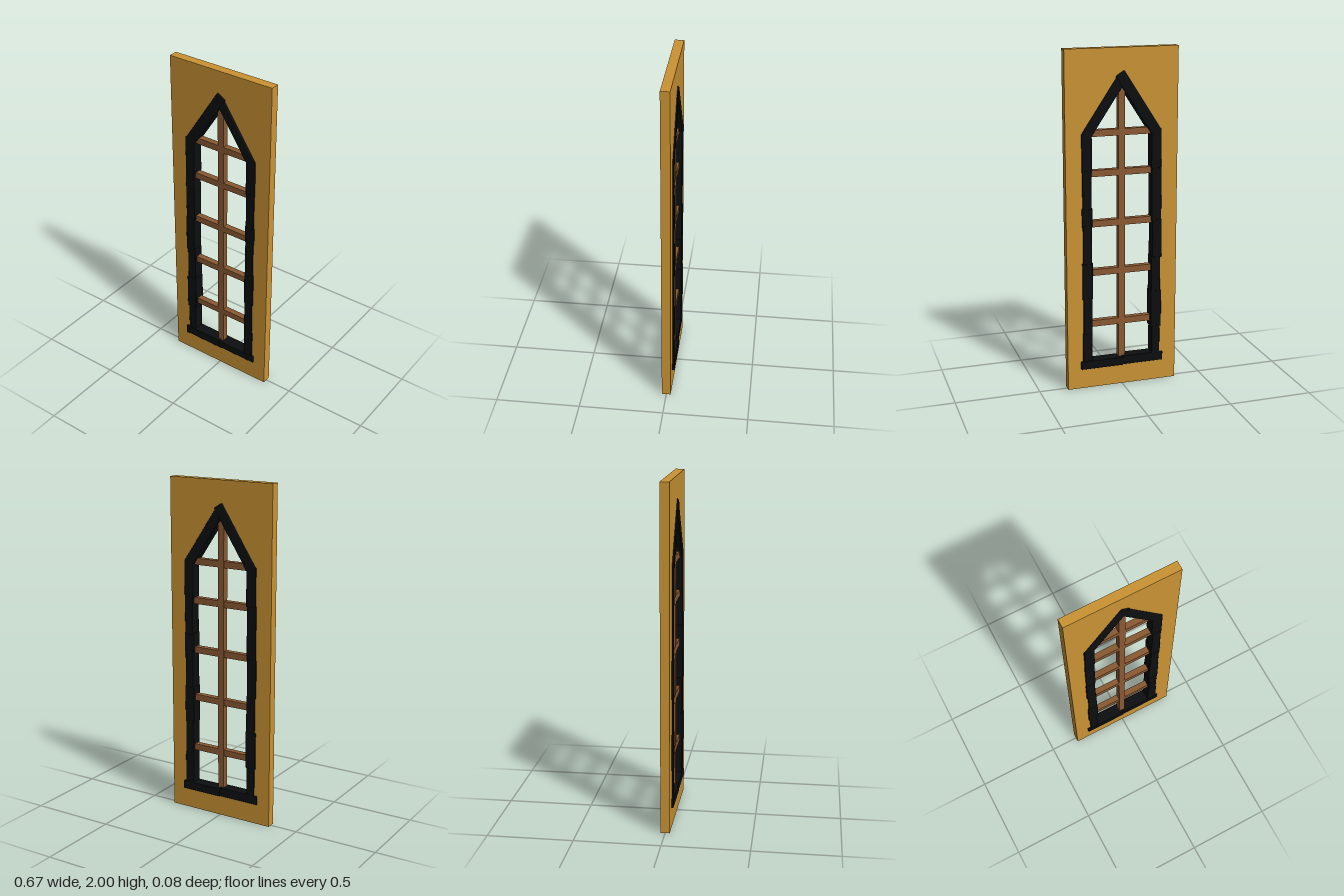
import * as THREE from 'three';
import { RoundedBoxGeometry } from 'three/addons/geometries/RoundedBoxGeometry.js';

export function createModel() {
  const model = new THREE.Group();
  model.name = 'latticeWindow';

  const mat = (name, color) => {
    const m = new THREE.MeshStandardMaterial({ color });
    m.name = name;
    return m;
  };
  const plaster = mat('ochreWall', 0xcb9434);
  const wood = mat('brownWood', 0x8b5a33);
  const iron = mat('blackStone', 0x0c0e10);

  const add = (name, geometry, material, parent = model) => {
    const mesh = new THREE.Mesh(geometry, material);
    mesh.name = name;
    parent.add(mesh);
    return mesh;
  };
  const group = (name) => {
    const g = new THREE.Group();
    g.name = name;
    model.add(g);
    return g;
  };

  // Wall panel with a pointed opening
  const wall = new THREE.Shape([
    [-0.333, 0], [0.333, 0], [0.333, 2], [-0.333, 2],
  ].map(([x, y]) => new THREE.Vector2(x, y)));
  wall.holes.push(new THREE.Path([
    [-0.205, 0.15], [-0.205, 1.52], [0, 1.82], [0.205, 1.52], [0.205, 0.15],
  ].map(([x, y]) => new THREE.Vector2(x, y))));
  const wallGeometry = new THREE.ExtrudeGeometry(wall, { depth: 0.053, bevelEnabled: false });
  wallGeometry.translate(0, 0, -0.0265);
  add('wallPanel', wallGeometry, plaster);

  // Slightly chamfered stone given by its x and y limits
  const frame = group('frame');
  const block = (name, x0, x1, y0, y1, depth = 0.066, z = 0) => {
    const geo = new RoundedBoxGeometry(x1 - x0, y1 - y0, depth, 1, 0.005);
    const mesh = add(name, geo, iron, frame);
    mesh.position.set((x0 + x1) / 2, (y0 + y1) / 2, z);
    return mesh;
  };

  // Sill in two offset halves
  block('sillRight', -0.254, 0.003, 0.12, 0.175, 0.071, 0.0025);
  block('sillLeft', -0.003, 0.254, 0.12, 0.17, 0.075, -0.0025);

  // Uneven jamb stones: inner edge, outer edge, bottom, top
  const jambRight = [
    [0.183, 0.234, 0.15, 0.35], [0.175, 0.241, 0.34, 0.565], [0.178, 0.234, 0.555, 0.78],
    [0.183, 0.241, 0.77, 1.0], [0.178, 0.238, 0.99, 1.315], [0.174, 0.235, 1.305, 1.535],
  ];
  const jambLeft = [
    [0.183, 0.241, 0.15, 0.345], [0.183, 0.236, 0.335, 0.56], [0.178, 0.241, 0.55, 0.775],
    [0.183, 0.236, 0.765, 0.995], [0.179, 0.241, 0.985, 1.1],
    [0.184, 0.237, 1.09, 1.315], [0.179, 0.24, 1.305, 1.53],
  ];
  jambRight.forEach(([a, b, y0, y1], i) =>
    block('jambStoneRight' + (i + 1), -b, -a, y0, y1, 0.066 + (i % 2) * 0.004));
  jambLeft.forEach(([a, b, y0, y1], i) =>
    block('jambStoneLeft' + (i + 1), a, b, y0, y1, 0.066 + (i % 2) * 0.004));

  // Sloping stones of the pointed head
  const slope = (name, x0, y0, x1, y1, width, depth) => {
    const length = Math.hypot(x1 - x0, y1 - y0);
    const mesh = block(name, 0, width, 0, length, depth);
    mesh.position.set((x0 + x1) / 2, (y0 + y1) / 2, 0);
    mesh.rotation.z = Math.atan2(y1 - y0, x1 - x0) - Math.PI / 2;
  };
  slope('archRight', -0.207, 1.513, 0.014, 1.857, 0.06, 0.07);
  slope('archLeft', 0.212, 1.515, -0.005, 1.84, 0.058, 0.067);

  // Glazing bars
  const lattice = group('lattice');
  add('mullion', new THREE.BoxGeometry(0.038, 1.64, 0.038), wood, lattice).position.y = 0.98;
  [0.395, 0.708, 1.0, 1.295, 1.525].forEach((y, i) => {
    add('crossBar' + (i + 1), new THREE.BoxGeometry(0.38, 0.038, 0.036), wood, lattice).position.y = y;
  });

  return model;
}
